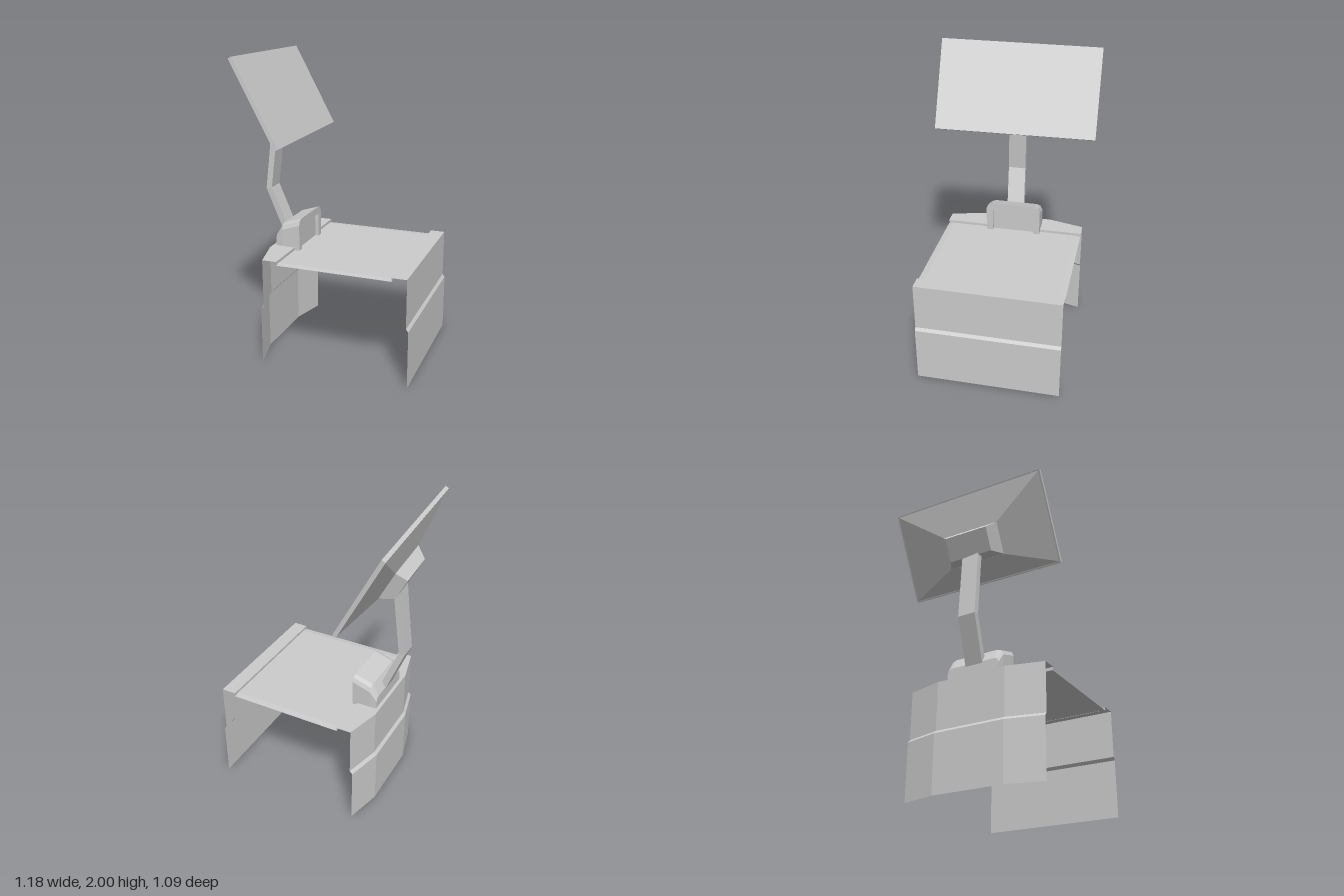
import * as THREE from 'three';

const material = new THREE.MeshStandardMaterial({
  color: 0xcccccc, flatShading: true, side: THREE.DoubleSide,
});

// Joins equal-length rings of [x, y, z] points with flat faces.
function loft(name, rings, { closed = false, capStart = false, capEnd = false } = {}) {
  const pos = [];
  const tri = (a, b, c) => pos.push(...a, ...b, ...c);
  const n = rings[0].length;
  for (let r = 0; r < rings.length - 1; r++) {
    const lo = rings[r], hi = rings[r + 1];
    for (let i = 0; i < (closed ? n : n - 1); i++) {
      const j = (i + 1) % n;
      tri(lo[i], lo[j], hi[j]);
      tri(lo[i], hi[j], hi[i]);
    }
  }
  const first = rings[0], last = rings[rings.length - 1];
  for (let i = 1; i < n - 1; i++) {
    if (capStart) tri(first[0], first[i + 1], first[i]);
    if (capEnd) tri(last[0], last[i], last[i + 1]);
  }
  const geometry = new THREE.BufferGeometry();
  geometry.setAttribute('position', new THREE.Float32BufferAttribute(pos, 3));
  geometry.computeVertexNormals();
  const mesh = new THREE.Mesh(geometry, material);
  mesh.name = name;
  return mesh;
}

// Rectangle in a local XY plane at depth z
const rect = (w, y0, y1, z) => [[-w, y0, z], [w, y0, z], [w, y1, z], [-w, y1, z]];

function createDesk() {
  const desk = new THREE.Group();
  desk.name = 'desk';

  // Bowed side panel: stepped skirt, top ledge and drop to the worktop
  const bow = [[-0.48, -0.4], [-0.24, -0.46], [0.24, -0.46], [0.48, -0.4]];
  const skirt = [[0, 0], [0, 0.38], [0.018, 0.4], [0.018, 0.72]]
    .map(([dx, y]) => bow.map(([z, x]) => [x + dx, y, z]));
  for (const y of [0.72, 0.7]) skirt.push(bow.map(([z]) => [-0.285, y, z]));
  desk.add(loft('bowedSidePanel', skirt));

  // Straight side panel with the same steps
  const straight = [[0.59, 0], [0.59, 0.38], [0.575, 0.4], [0.575, 0.72], [0.478, 0.72], [0.478, 0.7]];
  desk.add(loft('straightSidePanel', straight.map(([x, y]) => [[x, y, 0.48], [x, y, -0.48]])));

  // Thin worktop with slightly lowered edges
  const top = [[-0.48, 0.696], [-0.44, 0.702], [0.44, 0.702], [0.48, 0.696]];
  desk.add(loft('worktop', top.map(([z, y]) => [[-0.285, y, z], [0.478, y, z]])));
  return desk;
}

// Arm housing: hollow hood with rounded shoulders and a recessed front
function createHousing() {
  const arch = (x, w, top, r) => {
    const half = [[w, 0.65], [w, top - r], [w - r * 0.3, top - r * 0.3], [w - r, top]];
    const mirrored = half.slice().reverse().map(([z, y]) => [-z, y]);
    return [...half, ...mirrored].map(([z, y]) => [x, y, z]);
  };
  return loft('armHousing', [
    arch(-0.42, 0.185, 0.8, 0.03),
    arch(-0.375, 0.19, 0.875, 0.04),
    arch(-0.25, 0.19, 0.915, 0.04),
    arch(-0.25, 0.145, 0.865, 0.005),
    arch(-0.275, 0.145, 0.865, 0.005),
  ], { capStart: true, capEnd: true });
}

// Bent flat arm: back edge x, front edge x, height, sideways drift
function createArm() {
  const stations = [
    [-0.36, -0.315, 0.64, 0], [-0.535, -0.495, 1.085, 0.02], [-0.486, -0.443, 1.55, 0.005],
  ];
  const rings = stations.map(([x0, x1, y, z]) => [
    [x0, y - 0.004, z - 0.06], [x0, y - 0.004, z + 0.06],
    [x1, y + 0.004, z + 0.06], [x1, y + 0.004, z - 0.06],
  ]);
  return loft('arm', rings, { closed: true, capStart: true, capEnd: true });
}

// Display, built facing local +z and then tilted into place
function createDisplay() {
  const display = new THREE.Group();
  display.name = 'display';
  const solid = { closed: true, capStart: true, capEnd: true };

  const panel = new THREE.Mesh(new THREE.BoxGeometry(1.08, 0.608, 0.026), material);
  panel.name = 'screenPanel';
  panel.position.z = -0.013;
  display.add(panel);

  // Shallow tapered back and the arm socket behind it
  display.add(loft('screenBack', [
    rect(0.53, -0.295, 0.295, -0.026), rect(0.2, -0.16, 0.055, -0.084),
  ], solid));
  display.add(loft('armSocket', [
    rect(0.2, -0.16, 0.055, -0.08), rect(0.15, -0.126, 0.03, -0.165),
  ], solid));

  const across = new THREE.Vector3(-0.0615, -0.0175, -1.08).normalize();
  const normal = across.clone().cross(new THREE.Vector3(-0.2835, 0.5375, 0.005)).normalize();
  const up = normal.clone().cross(across);
  display.quaternion.setFromRotationMatrix(new THREE.Matrix4().makeBasis(across, up, normal));
  display.position.set(-0.398, 1.721, 0);
  return display;
}

export function createModel() {
  const model = new THREE.Group();
  model.name = 'deskWithDisplay';
  model.add(createDesk(), createHousing(), createArm(), createDisplay());
  return model;
}
